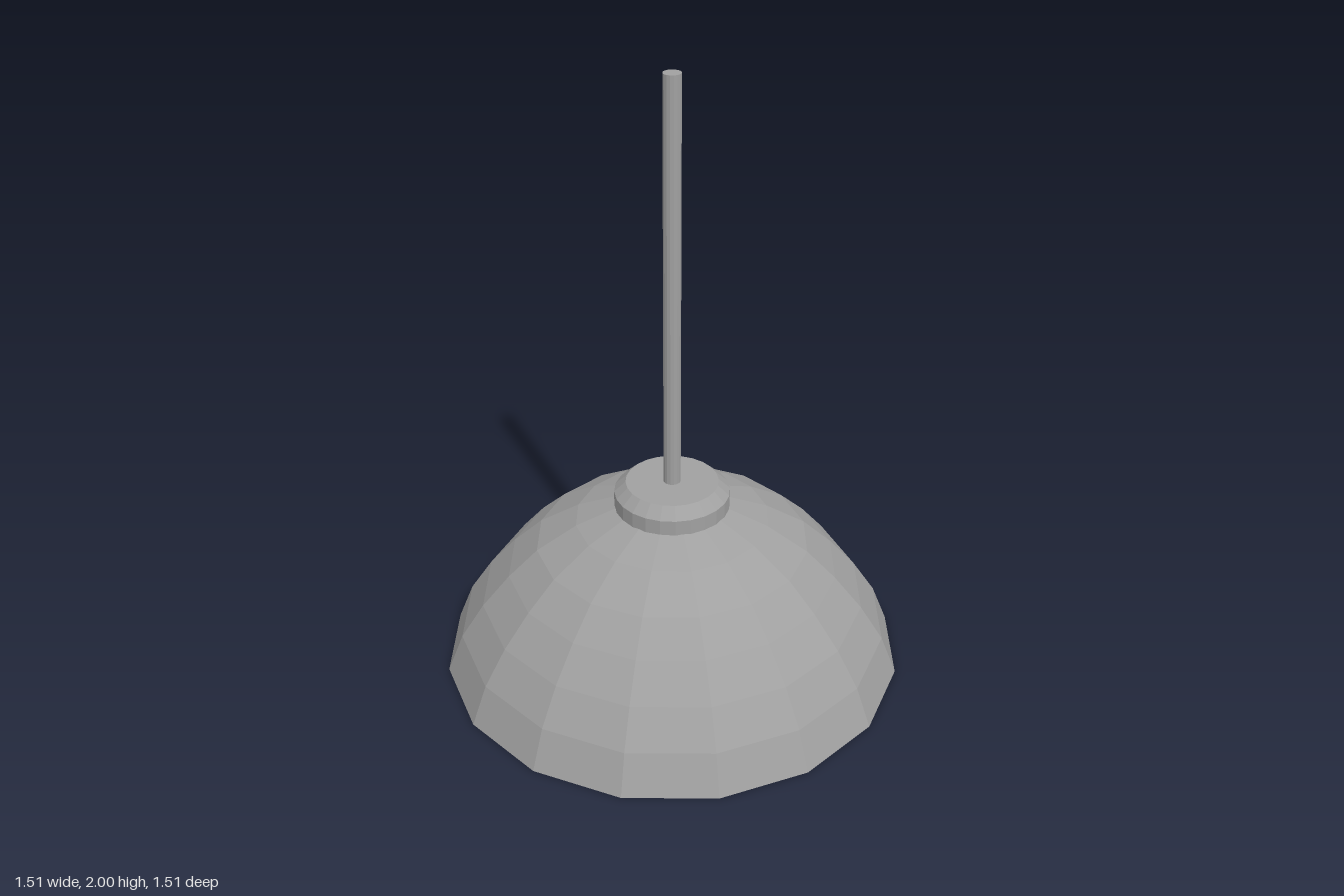
import * as THREE from 'three';

export function createModel() {
  const model = new THREE.Group();
  model.name = 'pendantLamp';
  const grey = new THREE.MeshStandardMaterial({ color: 0xa0a0a0 });
  grey.name = 'grey metal';
  grey.flatShading = true;

  const add = (name, geometry, y = 0) => {
    const mesh = new THREE.Mesh(geometry, grey);
    mesh.name = name;
    mesh.position.y = y;
    model.add(mesh);
  };
  const lathe = (points, sides) =>
    new THREE.LatheGeometry(points.map(([r, y]) => new THREE.Vector2(r, y)), sides);

  // Shade: flat ceiling, conical inside, thin rim, then the domed outside
  add('shade', lathe([
    [0, 0.29], [0.49, 0.29], [0.725, 0], [0.757, 0],
    [0.705, 0.13], [0.63, 0.245], [0.54, 0.35], [0.445, 0.44],
    [0.315, 0.52], [0.16, 0.58], [0, 0.6],
  ], 16));

  // Collar with a bevelled top edge
  add('collar', lathe([
    [0, 0.565], [0.187, 0.565], [0.187, 0.62], [0.15, 0.655], [0, 0.655],
  ], 24));

  // Hanging rod
  add('rod', new THREE.CylinderGeometry(0.028, 0.028, 1.36, 16), 1.32);

  // Bulb hanging below the inner ceiling
  add('bulb', new THREE.SphereGeometry(0.18, 8, 6), 0.21);

  return model;
}
